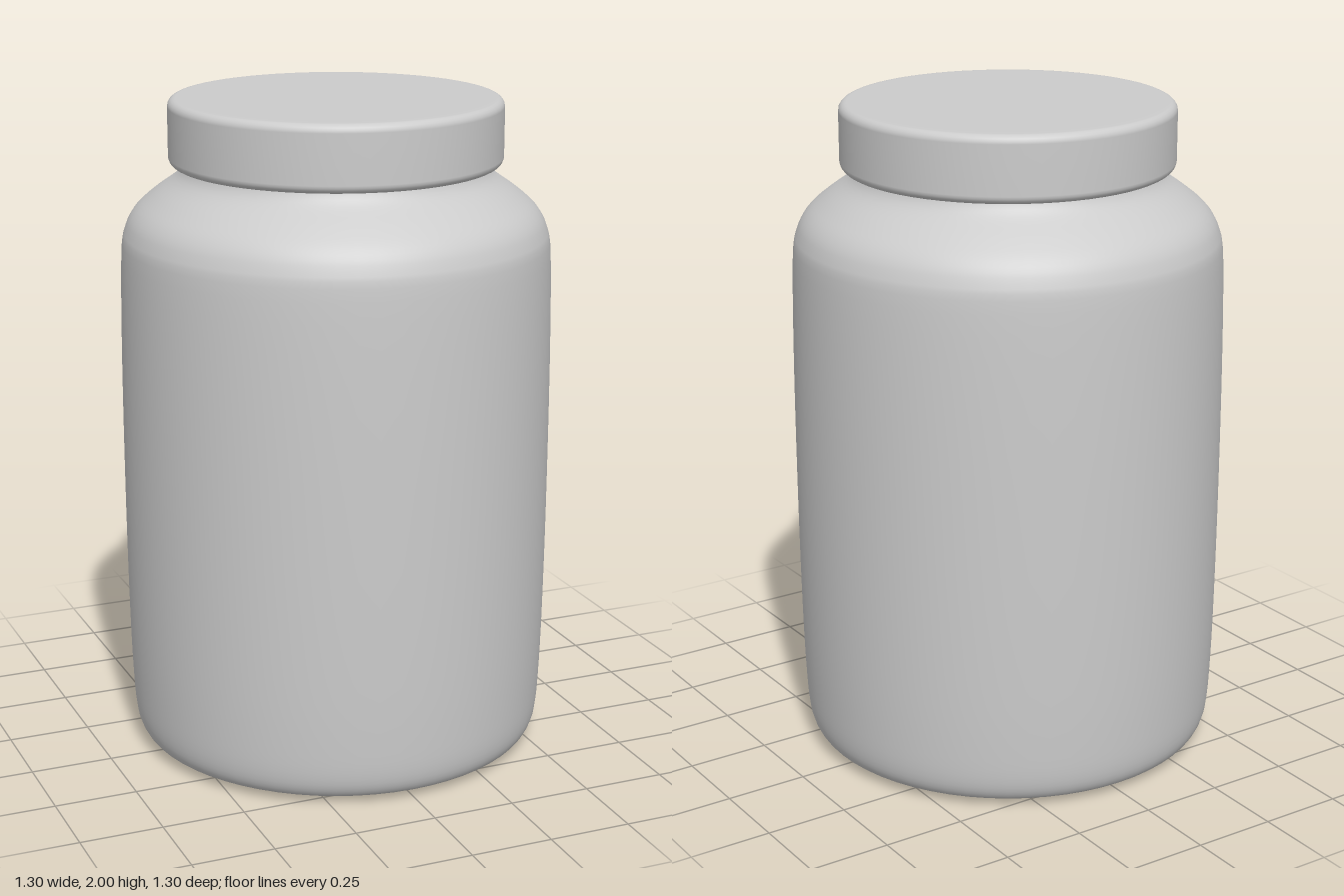
import * as THREE from 'three';

const material = new THREE.MeshStandardMaterial({ color: 0xcccccc });

// Revolves a profile of [radius, height] pairs, listed from bottom to top
function turned(name, profile, sides) {
  const points = profile.map(([r, y]) => new THREE.Vector2(r, y));
  const mesh = new THREE.Mesh(new THREE.LatheGeometry(points, sides), material);
  mesh.name = name;
  return mesh;
}

// Smooth run of profile points through a few control points
function smooth(controls, steps) {
  const curve = new THREE.SplineCurve(controls.map(([r, y]) => new THREE.Vector2(r, y)));
  return curve.getPoints(steps).map((p) => [p.x, p.y]);
}

// Quarter-round corner, from angle a0 to a1
function corner(r, y, radius, a0, a1, steps = 5) {
  return Array.from({ length: steps + 1 }, (_, i) => {
    const a = a0 + ((a1 - a0) * i) / steps;
    return [r + radius * Math.cos(a), y + radius * Math.sin(a)];
  });
}

export function createModel() {
  const group = new THREE.Group();
  group.name = 'jar';

  // Body: flat base, rounded foot, slightly bulging wall, shoulder and neck
  const wall = smooth([
    [0.54, 0.008], [0.585, 0.018], [0.613, 0.038], [0.631, 0.09], [0.639, 0.2],
    [0.645, 0.4], [0.649, 0.75], [0.649, 1.2], [0.643, 1.53], [0.63, 1.615],
    [0.6, 1.67], [0.545, 1.718], [0.48, 1.765], [0.455, 1.8], [0.447, 1.84],
  ], 56);
  group.add(turned('body', [[0, 0], [0.5, 0.002], ...wall, [0.447, 1.9], [0, 1.9]], 64));

  // Lid: solid disc with softly rounded rims
  const r = 0.025;
  group.add(turned('lid', [
    [0.43, 1.803], [0.465, 1.803],
    ...corner(0.498 - r, 1.803 + r, r, -Math.PI / 2, 0),
    ...corner(0.498 - r, 2 - r, r, 0, Math.PI / 2),
    [0.44, 2], [0, 2],
  ], 64));

  return group;
}
